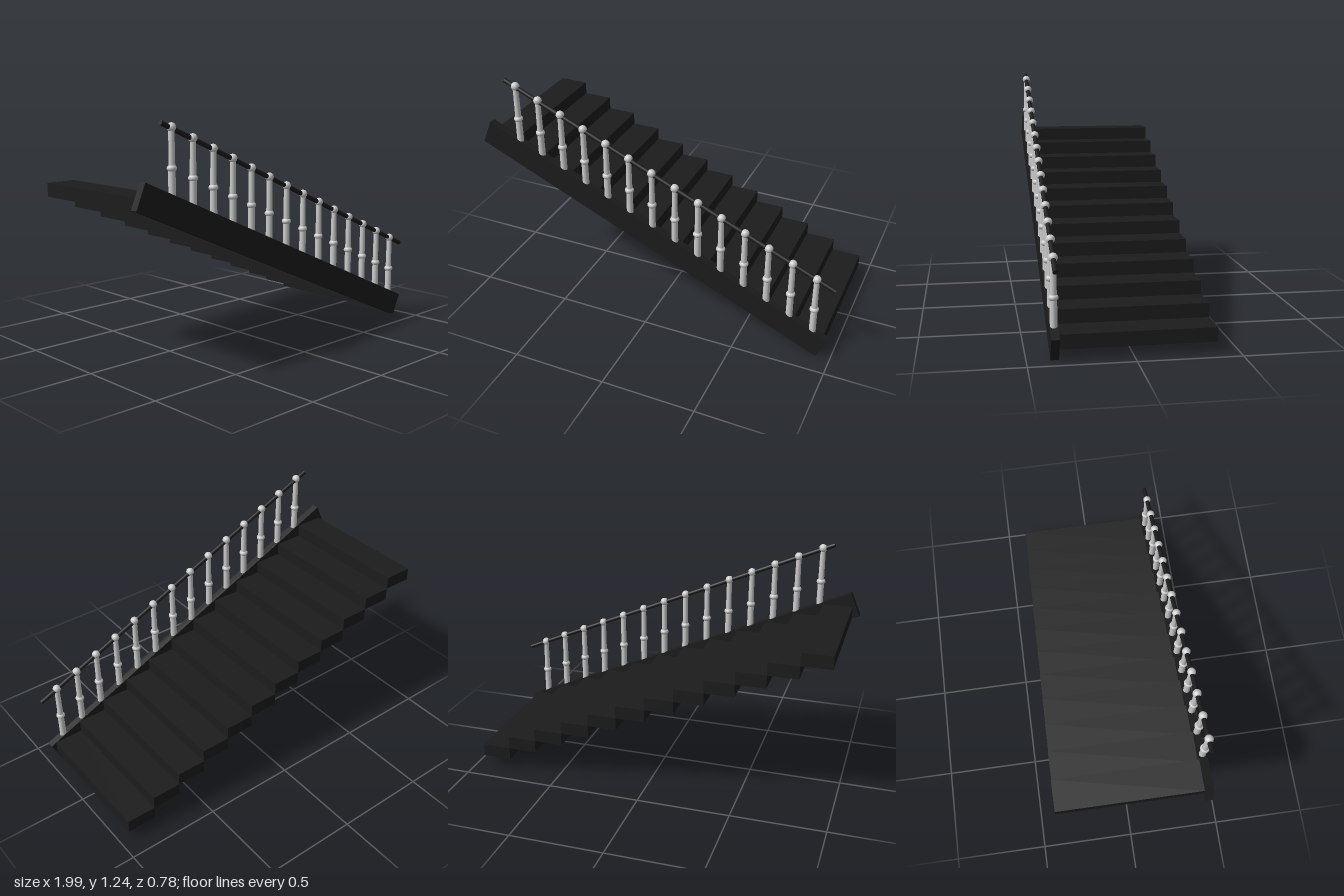
import * as THREE from 'three';

export function createModel() {
  const group = new THREE.Group();
  group.name = 'staircase';
  const black = new THREE.MeshStandardMaterial({ color: 0x1c1c1c });
  const grey = new THREE.MeshStandardMaterial({ color: 0xcccccc });
  const railZ = 0.37;

  const add = (name, geometry, material, parent = group) => {
    const mesh = new THREE.Mesh(geometry, material);
    mesh.name = name;
    parent.add(mesh);
    return mesh;
  };

  // Twelve solid treads, each rising by its own height
  const count = 12, run = 1.91 / count, rise = 0.07;
  const treadGeometry = new THREE.BoxGeometry(run, rise, 0.74);
  const steps = new THREE.Group();
  steps.name = 'steps';
  group.add(steps);
  for (let i = 0; i < count; i++) {
    add('step', treadGeometry, black, steps)
      .position.set(0.95 - run * (i + 0.5), 0.06 + rise * (i + 0.5), -0.02);
  }

  // Sloping side board with square-cut ends
  const board = new THREE.Shape([
    [-1, 0.85], [0.925, 0.002], [0.98, 0.115], [-0.947, 0.975],
  ].map(([x, y]) => new THREE.Vector2(x, y)));
  add('stringer', new THREE.ExtrudeGeometry(board, { depth: 0.04, bevelEnabled: false }), black)
    .position.z = 0.35;

  // Straight round handrail
  const top = new THREE.Vector3(-0.84, 1.233, railZ);
  const bottom = new THREE.Vector3(0.99, 0.43, railZ);
  add('handrail', new THREE.TubeGeometry(new THREE.LineCurve3(top, bottom), 1, 0.012, 16), black);
  for (const [end, out] of [[top, -1], [bottom, 1]]) {
    const cap = add('handrailEnd', new THREE.CircleGeometry(0.012, 16), black);
    cap.position.copy(end);
    cap.quaternion.setFromUnitVectors(
      new THREE.Vector3(0, 0, 1),
      bottom.clone().sub(top).normalize().multiplyScalar(out));
  }

  // Balusters: lower shaft, flattened knob, slimmer upper shaft, ball on the rail
  const lower = new THREE.CylinderGeometry(0.017, 0.018, 0.16, 20);
  const upper = new THREE.CylinderGeometry(0.014, 0.016, 0.185, 20);
  const knob = new THREE.SphereGeometry(0.024, 20, 12).scale(1, 0.75, 1);
  const ball = new THREE.SphereGeometry(0.022, 20, 14);
  const posts = 14;
  for (let i = 0; i < posts; i++) {
    const t = i / (posts - 1);
    const baluster = new THREE.Group();
    baluster.name = 'baluster';
    baluster.position.set(-0.777 + 1.668 * t, 1.21 - 0.735 * t, railZ);
    add('lowerShaft', lower, grey, baluster).position.y = -0.265;
    add('knob', knob, grey, baluster).position.y = -0.187;
    add('upperShaft', upper, grey, baluster).position.y = -0.093;
    add('ball', ball, grey, baluster);
    group.add(baluster);
  }
  return group;
}
